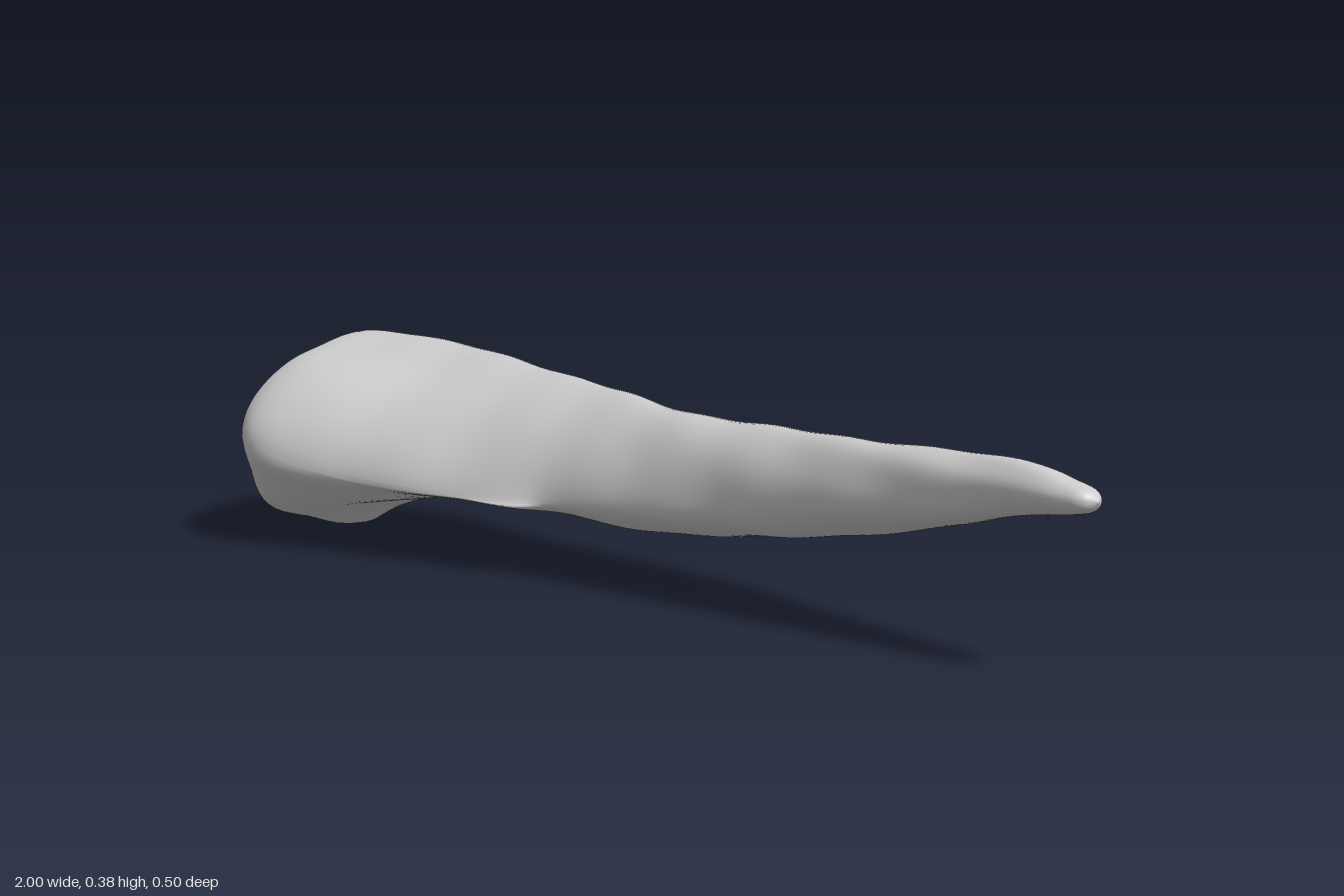
import * as THREE from 'three';

// Cross-sections along the shaft: x, then (z, y) of the front, top, back and bottom extremes
const STATIONS = [
  [-1.00, -0.02, 0.23, -0.06, 0.25, -0.10, 0.23, -0.06, 0.20],
  [-0.985, 0.07, 0.22, -0.10, 0.335, -0.175, 0.24, -0.07, 0.13],
  [-0.95, 0.14, 0.21, -0.10, 0.365, -0.197, 0.24, -0.07, 0.05],
  [-0.90, 0.215, 0.20, -0.11, 0.377, -0.21, 0.23, -0.07, 0.003],
  [-0.80, 0.245, 0.185, -0.12, 0.376, -0.225, 0.225, -0.06, 0.045],
  [-0.62, 0.185, 0.145, -0.13, 0.363, -0.248, 0.22, -0.08, 0.085],
  [-0.40, 0.12, 0.135, -0.13, 0.343, -0.217, 0.212, -0.06, 0.118],
  [-0.20, 0.068, 0.14, -0.105, 0.328, -0.20, 0.197, -0.07, 0.113],
  [0.00, 0.05, 0.16, -0.075, 0.315, -0.19, 0.19, -0.08, 0.10],
  [0.30, 0.04, 0.20, -0.04, 0.32, -0.155, 0.195, -0.08, 0.13],
  [0.60, 0.035, 0.255, -0.015, 0.33, -0.10, 0.235, -0.05, 0.185],
  [0.85, 0.027, 0.29, -0.01, 0.334, -0.065, 0.28, -0.03, 0.245],
  [0.95, 0.02, 0.29, -0.012, 0.315, -0.05, 0.285, -0.02, 0.261],
  [0.985, 0.01, 0.288, -0.014, 0.304, -0.038, 0.286, -0.016, 0.269],
  [1.00, -0.012, 0.287, -0.014, 0.289, -0.016, 0.287, -0.014, 0.285],
];
const STEPS = 12, SIDES = 72;

// Smooth interpolation of all section values
function sectionAt(t) {
  const last = STATIONS.length - 1;
  const i = Math.min(Math.floor(t), last - 1), f = t - i;
  const at = k => STATIONS[Math.max(0, Math.min(last, k))];
  const [a, b, c, d] = [at(i - 1), at(i), at(i + 1), at(i + 2)];
  return b.map((_, k) => {
    const m0 = (c[k] - a[k]) / 2, m1 = (d[k] - b[k]) / 2, f2 = f * f, f3 = f2 * f;
    return (2 * f3 - 3 * f2 + 1) * b[k] + (f3 - 2 * f2 + f) * m0 +
      (3 * f2 - 2 * f3) * c[k] + (f3 - f2) * m1;
  });
}

const bell = (v, centre, width) => Math.exp(-(((v - centre) / width) ** 2));

// Roundness of each quarter: 1 is elliptical, 2 is a straight slope
function quarterPower(x, front, upper) {
  if (upper) return front ? 0.97 + 0.36 * bell(x, -0.35, 0.42) : 0.97;
  // The underside is hollowed under the ridge behind the head
  return front ? 0.88 + 0.35 * bell(x, -0.55, 0.16) : 0.9 + 0.2 * bell(x, -0.1, 0.5);
}

// Point on a section made of four rounded quarters between its extremes
function surfacePoint(t, angle) {
  const [x, fz, fy, tz, ty, bz, by, uz, uy] = sectionAt(t);
  const c = Math.cos(angle), s = Math.sin(angle);
  const front = c >= 0, upper = s >= 0;
  const power = quarterPower(x, front, upper);
  const cz = upper ? tz : uz, cy = front ? fy : by;
  let z = cz + ((front ? fz : bz) - cz) * Math.abs(c) ** power;
  let y = cy + ((upper ? ty : uy) - cy) * Math.abs(s) ** power;

  // Shallow dip in front of the top ridge
  if (front && upper) y -= 0.014 * bell(x, -0.75, 0.28) * bell(c, 0.38, 0.22);

  // Small spur on the front ridge, ending abruptly towards the tip
  if (front) z += 0.022 * bell(x, -0.25, x < -0.25 ? 0.11 : 0.025) * bell(s, -0.3, 0.35);

  // Gentle lumps on the shaft, stronger around the lower head
  const head = bell(x, -0.9, 0.16) * (upper ? 0.15 : 1);
  const fade = Math.min(1, (1 - x) * 5, (x + 1) * 20);
  const lump = fade * (0.0025 * Math.sin(x * 23 + 3 * angle) * Math.sin(x * 9 - 2 * angle) +
    0.007 * head * Math.sin(7 * angle + x * 14));
  z += lump * c;
  y = Math.max(0, y + lump * s);

  // Dent in the lower front of the joint end
  const dent = 0.035 * bell(x, -0.96, 0.06) * bell(y, 0.14, 0.06) * bell(z, 0.09, 0.07);
  return [x + dent, y, z];
}

function boneGeometry() {
  const rows = (STATIONS.length - 1) * STEPS;
  const positions = [], index = [];
  for (let i = 0; i <= rows; i++) {
    for (let j = 0; j < SIDES; j++) {
      positions.push(...surfacePoint(i / STEPS, (j / SIDES) * Math.PI * 2));
    }
  }
  for (let i = 0; i < rows; i++) {
    for (let j = 0; j < SIDES; j++) {
      const k = (j + 1) % SIDES;
      const a = i * SIDES + j, b = i * SIDES + k;
      index.push(a, a + SIDES, b, b, a + SIDES, b + SIDES);
    }
  }
  // Close both ends
  const start = positions.length / 3, end = start + 1, lastRow = rows * SIDES;
  positions.push(-1, 0.225, -0.06, 1, 0.287, -0.014);
  for (let j = 0; j < SIDES; j++) {
    const k = (j + 1) % SIDES;
    index.push(start, j, k, end, lastRow + k, lastRow + j);
  }
  const geometry = new THREE.BufferGeometry();
  geometry.setAttribute('position', new THREE.Float32BufferAttribute(positions, 3));
  geometry.setIndex(index);
  geometry.computeVertexNormals();
  return geometry;
}

export function createModel() {
  const group = new THREE.Group();
  group.name = 'bone';
  const shaft = new THREE.Mesh(boneGeometry(), new THREE.MeshStandardMaterial({ color: 0xcccccc }));
  shaft.name = 'boneShaftAndHead';
  group.add(shaft);
  return group;
}
